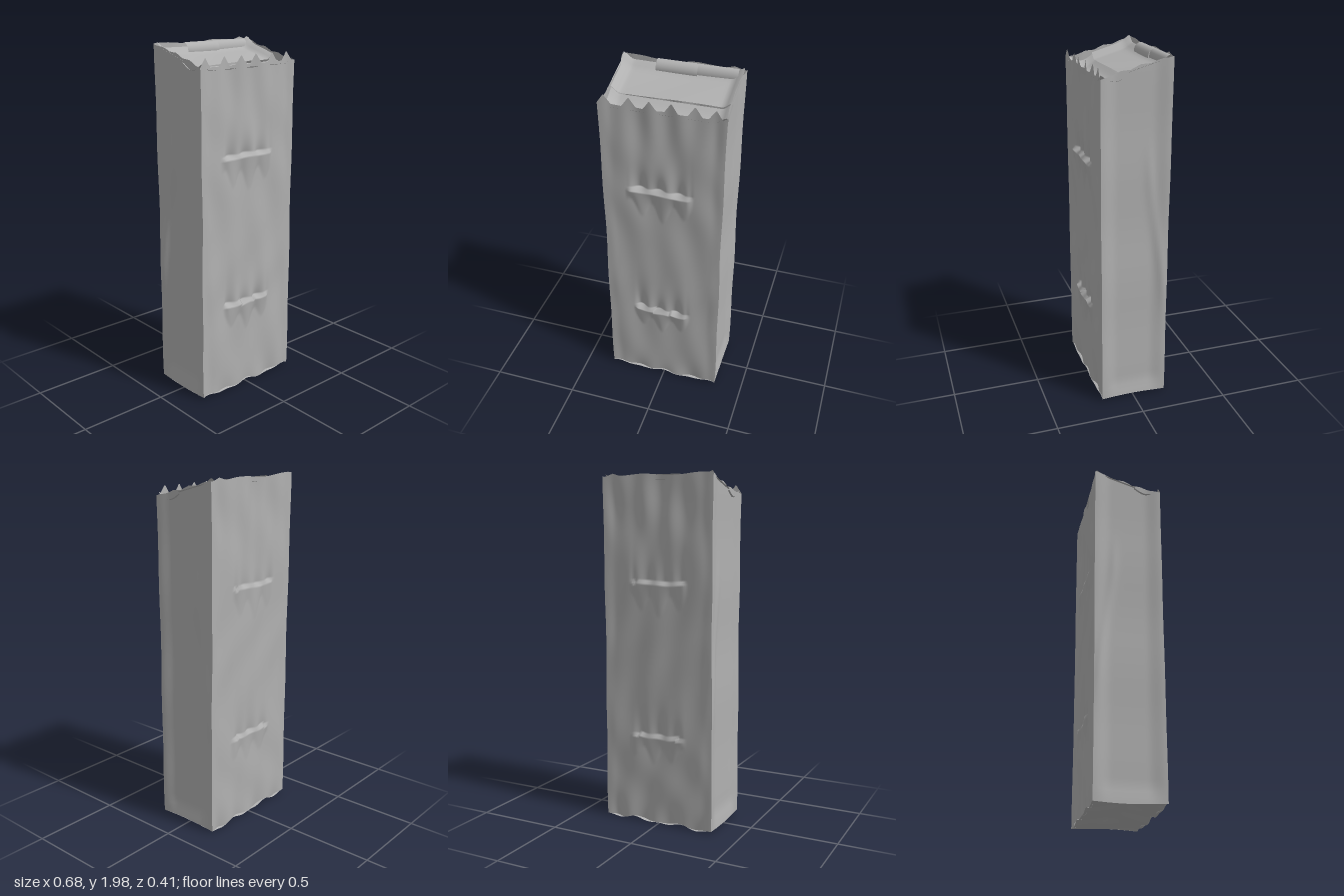
import * as THREE from 'three';

const paper = new THREE.MeshStandardMaterial({ color: 0xb0b0b0, side: THREE.DoubleSide });
paper.name = 'grey paper';

const HALF_W = 0.334, HALF_D = 0.19;
const { sin, cos, abs, max, min, exp } = Math;
const bump = (t, w) => exp(-(t * t) / (w * w));
const tent = (t, w) => max(0, 1 - abs(t) / w);
const mix = THREE.MathUtils.lerp;
const smooth = THREE.MathUtils.smoothstep;

// Smooth sheet from a rule: fn(u, v) gives [x, y, z], u and v run 0..1
function sheet(name, nu, nv, fn) {
  const pos = [], idx = [];
  for (let j = 0; j <= nv; j++) {
    for (let i = 0; i <= nu; i++) {
      pos.push(...fn(i / nu, j / nv));
      if (i < nu && j < nv) {
        const a = j * (nu + 1) + i, b = a + 1, c = a + nu + 1, d = c + 1;
        idx.push(a, b, d, a, d, c);
      }
    }
  }
  const g = new THREE.BufferGeometry();
  g.setAttribute('position', new THREE.Float32BufferAttribute(pos, 3));
  g.setIndex(idx);
  g.computeVertexNormals();
  const m = new THREE.Mesh(g, paper);
  m.name = name;
  return m;
}

// Shared edges, so that neighbouring panels meet
const edgeX = (y) => HALF_W + 0.004 * sin(y * 7.3) * cos(y * 3.1);
const rimY = (z) => mix(1.875, 1.972, (HALF_D - z) / (2 * HALF_D));
const footY = (x, z) => 0.012 + 0.007 * sin(x * 23 + z * 9) + 0.005 * cos(x * 41);

// Pinched pocket: sharp ledge on top, ragged taper below, pulled folds above
function pocket(x, y, top, cx, half, drop, phase) {
  const dx = x - cx;
  const inside = smooth(half - abs(dx), 0, 0.035);
  const below = top - y;
  if (below >= 0) {
    const ragged = drop * (0.75 + 0.3 * sin(dx * 52 + phase)) * (1 - 0.35 * abs(dx) / half);
    return inside * 0.017 * max(0, 1 - below / ragged);
  }
  const fold = 0.5 + 0.5 * cos(dx * 58 + phase);
  return -inside * 0.024 * fold * exp(below / 0.075);
}

// Crumples of a broad panel, fading out at its side edges
function crumple(x, y, phase) {
  const fade = smooth(HALF_W - abs(x), 0, 0.07);
  const soft = 0.004 * sin(x * 15 + 2 * sin(y * 4 + phase)) * cos(y * 9 + phase)
    + 0.0025 * sin(x * 31 + y * 5 + phase);
  const topFolds = -0.008 * (0.5 + 0.5 * sin(x * 44 + phase)) * bump(y - 1.82, 0.2);
  const footFolds = -0.014 * (0.5 + 0.5 * sin(x * 36 + phase * 2)) * exp(-y / 0.1);
  return fade * (soft + topFolds + footFolds - 0.002);
}

const TEETH = [-0.3, -0.17, -0.06, 0.05, 0.17, 0.275];

function frontPanel(u, v) {
  const x0 = mix(-1, 1, u) * HALF_W;
  let top = 1.876;
  for (const t of TEETH) top = max(top, 1.876 + 0.052 * tent(x0 - t, 0.036));
  // only the uppermost strip follows the teeth
  const foot = footY(x0, HALF_D);
  const y = v < 0.95 ? mix(foot, 1.84, v / 0.95) : mix(1.84, top, (v - 0.95) / 0.05);
  const z = HALF_D + crumple(x0, y, 0.6)
    + pocket(x0, y, 1.39, -0.015, 0.19, 0.2, 0.4)
    + pocket(x0, y, 0.53, -0.01, 0.175, 0.17, 1.3);
  return [x0 / HALF_W * edgeX(y), y, z];
}

function backPanel(u, v) {
  const x0 = mix(1, -1, u) * HALF_W;
  const top = 1.972 + 0.006 * sin(x0 * 17) + 0.018 * tent(x0 - 0.27, 0.05);
  const y = mix(footY(x0, -HALF_D), top, v);
  const z = -HALF_D - 0.008 * smooth(y, 0.4, 1.9) - crumple(x0, y, 2.1)
    - pocket(x0, y, 1.39, -0.01, 0.18, 0.19, 2.2) * 0.6
    - pocket(x0, y, 0.52, 0, 0.18, 0.17, 0.2) * 0.6;
  return [x0 / HALF_W * edgeX(y), y, z];
}

// Narrow side, sunk a little between the front and back edges
function sidePanel(s) {
  return (u, v) => {
    const z0 = mix(HALF_D, -HALF_D, u);
    const jag = 0.012 * sin(u * Math.PI) * (abs(((u * 7) % 2) - 1) - 0.4);
    const y = mix(footY(s * HALF_W, z0), rimY(z0) + jag, v);
    const crease = 0.007 * bump(z0 + 0.19 - 0.11 * smooth(y, 0.4, 1.5), 0.025)
      * smooth(y, 0.4, 0.7) * smooth(1.6 - y, 0, 0.3);
    const dip = 0.018 * smooth(1 - abs(z0) / HALF_D, 0, 0.5) * smooth(y, 0, 0.12);
    const z = z0 < 0 ? z0 - 0.008 * smooth(y, 0.4, 1.9) * (-z0 / HALF_D) : z0;
    const edgeFade = min(1, (1 - abs(z0) / HALF_D) * 6);
    return [s * (edgeX(y) - dip + crease * edgeFade), y, z];
  };
}

// Base: tucked upward between its creased corners
function base(u, v) {
  const x = mix(-1, 1, u), z = mix(-1, 1, v);
  const tuck = min(1 - abs(x), (1 - abs(z)) * 0.6);
  const y = footY(x * HALF_W, z * HALF_D) + 0.075 * min(tuck, 0.5)
    + 0.006 * sin(x * 14) * (1 - abs(z)) * (1 - abs(x));
  return [x * edgeX(y), y, z * HALF_D];
}

// Top closure sunk below the rim; rises at both ends to meet the sides
const collar = (x) => 0.035 * smooth(abs(x), 0.27, HALF_W - 0.005);
function rearFlap(u, v) {
  const x = mix(-1, 1, u) * (HALF_W - 0.006);
  const z = mix(-0.19, 0.04, v);
  const y = rimY(z) - 0.045 + collar(x) + 0.02 * bump(z + 0.19, 0.03)
    + 0.003 * sin(x * 9 + z * 12);
  return [x, y, z];
}
function frontFlap(u, v) {
  const x = mix(-1, 1, u) * (HALF_W - 0.006);
  const z = mix(0.036, HALF_D - 0.004, v);
  const y = mix(rimY(0.04) - 0.055, 1.86, v) - 0.035 * sin(v * Math.PI) + collar(x);
  return [x, y, z];
}

// Rolled lip along the inside of the back edge
function rolledLip(x0, x1, depth) {
  return (u, v) => {
    const a = v * Math.PI * 0.6;
    return [mix(x0, x1, u), 1.972 - 0.045 * (1 - cos(a)), -0.194 + depth * sin(a)];
  };
}

export function createModel() {
  const bag = new THREE.Group();
  bag.name = 'crumpledPaperBag';
  bag.add(
    sheet('frontPanel', 96, 160, frontPanel),
    sheet('backPanel', 72, 160, backPanel),
    sheet('leftSide', 28, 60, sidePanel(1)),
    sheet('rightSide', 28, 60, (u, v) => sidePanel(-1)(1 - u, v)),
    sheet('base', 40, 24, base),
    sheet('rearTopFlap', 40, 16, (u, v) => rearFlap(u, 1 - v)),
    sheet('frontTopFlap', 40, 12, (u, v) => frontFlap(u, 1 - v)),
    sheet('rolledLip', 8, 8, rolledLip(-0.14, 0.085, 0.042)),
    sheet('rolledLipEnd', 8, 8, rolledLip(0.08, 0.3, 0.035)),
  );
  return bag;
}
